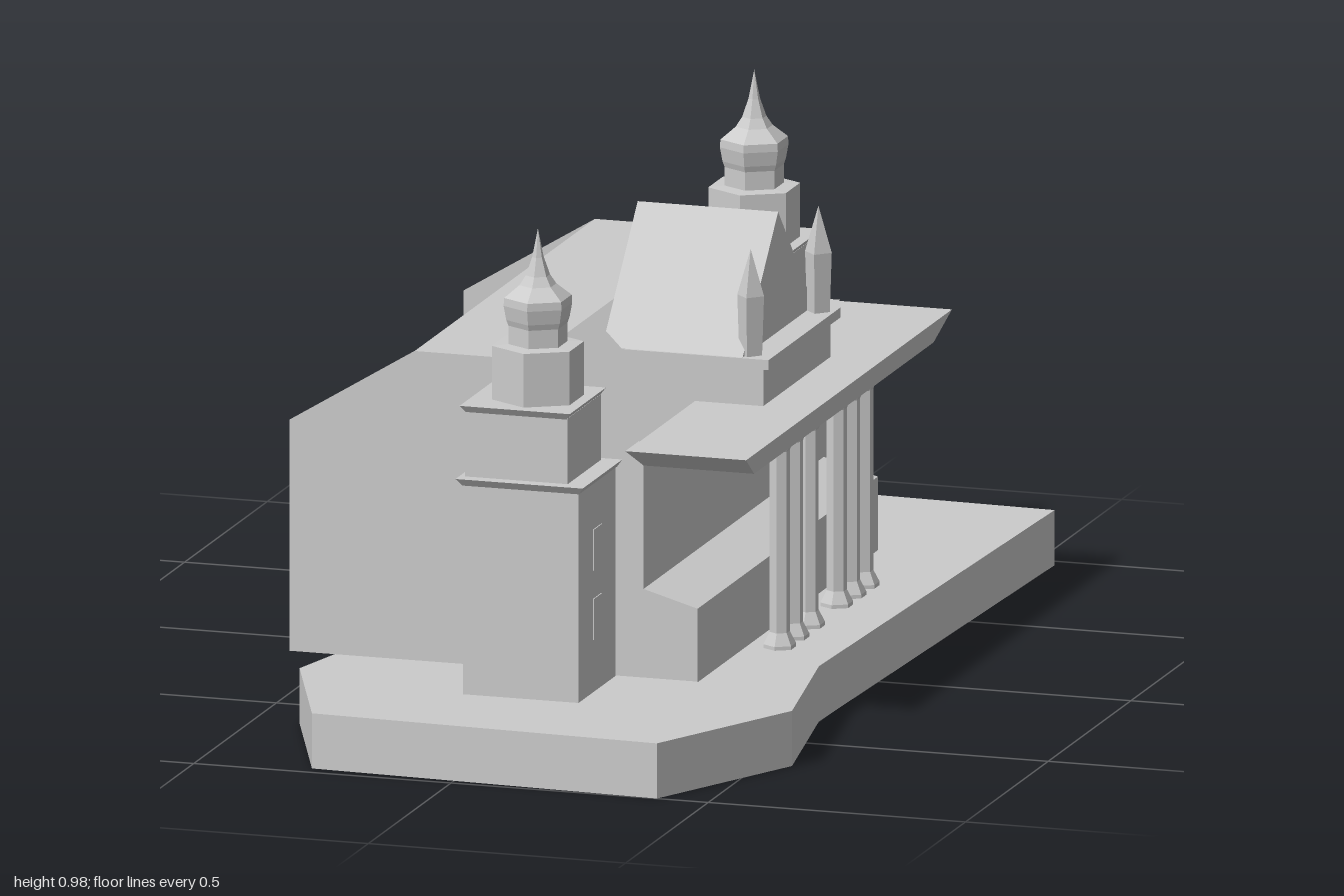
import * as THREE from 'three';

const mat = new THREE.MeshStandardMaterial({ color: 0xcccccc, flatShading: true, side: THREE.DoubleSide });

function add(parent, name, geometry, x = 0, y = 0, z = 0) {
  const mesh = new THREE.Mesh(geometry, mat);
  mesh.name = name;
  mesh.position.set(x, y, z);
  parent.add(mesh);
  return mesh;
}

// Box between two corners; its underside may be drawn in by inX, inZ
function block(parent, name, [x0, x1], [y0, y1], [z0, z1], inX = 0, inZ = 0) {
  const w = x1 - x0, d = z1 - z0;
  const g = new THREE.BoxGeometry(w, y1 - y0, d);
  const p = g.attributes.position;
  for (let i = 0; i < p.count; i++) {
    if (p.getY(i) < 0) {
      p.setX(i, p.getX(i) * (1 - 2 * inX / w));
      p.setZ(i, p.getZ(i) * (1 - 2 * inZ / d));
    }
  }
  g.computeVertexNormals();
  return add(parent, name, g, (x0 + x1) / 2, (y0 + y1) / 2, (z0 + z1) / 2);
}

// Folded sheet: an (x, y) profile swept from z0 to z1
function sheet(parent, name, profile, z0, z1) {
  const pos = [];
  for (let i = 0; i + 1 < profile.length; i++) {
    const [ax, ay] = profile[i], [bx, by] = profile[i + 1];
    pos.push(ax, ay, z0, ax, ay, z1, bx, by, z1, ax, ay, z0, bx, by, z1, bx, by, z0);
  }
  const g = new THREE.BufferGeometry();
  g.setAttribute('position', new THREE.Float32BufferAttribute(pos, 3));
  g.computeVertexNormals();
  return add(parent, name, g);
}

const shapeOf = pts => new THREE.Shape(pts.map(([x, y]) => new THREE.Vector2(x, y)));

const lathe = (pts, sides) =>
  new THREE.LatheGeometry(pts.map(([r, y]) => new THREE.Vector2(r, y)), sides).toNonIndexed();

function addBase(parent) {
  // Open-bottomed plinth: top slab plus skirt
  const outline = [[-0.29, -1], [0.54, -0.97], [0.5, 0.33], [0.56, 0.68],
    [0.4, 1], [-0.28, 0.97], [-0.41, 0.64], [-0.33, 0.28]];
  const top = new THREE.ShapeGeometry(shapeOf(outline.map(([x, z]) => [x, -z])));
  top.rotateX(-Math.PI / 2);
  add(parent, 'baseTop', top, 0, 0.105, 0);
  const skirt = [];
  outline.forEach(([ax, az], i) => {
    const [bx, bz] = outline[(i + 1) % outline.length];
    const h = 0.105;
    skirt.push(ax, 0, az, ax, h, az, bx, h, bz, ax, 0, az, bx, h, bz, bx, 0, bz);
  });
  const g = new THREE.BufferGeometry();
  g.setAttribute('position', new THREE.Float32BufferAttribute(skirt, 3));
  g.computeVertexNormals();
  add(parent, 'baseSkirt', g);
}

function addHall(parent) {
  const front = [[-0.225, 0.695], [0, 0.695], [0.22, 0.55], [0.22, 0.275], [0.325, 0.245], [0.325, 0.105]];
  sheet(parent, 'roofSheet', front.slice(0, 3), -0.57, 0.52);
  sheet(parent, 'facade', front.slice(2), -0.57, 0.52);
  // End walls; the rear one has a stepped foot overhanging the plinth
  const nearBack = [[-0.47, 0.105], [-0.47, 0.545]];
  const farBack = [[-0.565, 0.1], [-0.565, 0.245], [-0.48, 0.275], [-0.48, 0.54]];
  add(parent, 'endWallFront', new THREE.ShapeGeometry(shapeOf([...nearBack, ...front])), 0, 0, 0.515);
  add(parent, 'endWallRear', new THREE.ShapeGeometry(shapeOf([...farBack, ...front])), 0, 0, -0.57);
}

function addPortico(parent) {
  block(parent, 'canopy', [0.21, 0.445], [0.51, 0.555], [-0.645, 0.6], 0.01, 0.08);
  const profile = [[0.031, 0.105], [0.031, 0.112], [0.019, 0.135], [0.019, 0.48], [0.03, 0.505], [0.03, 0.512]];
  const column = lathe(profile, 6);
  column.computeVertexNormals();
  for (const z of [0.21, 0.13, 0.035, -0.135, -0.215, -0.295]) add(parent, 'column', column, 0.385, 0, z);
}

function addDormer(parent) {
  block(parent, 'dormerBase', [0.08, 0.345], [0.55, 0.63], [-0.22, 0.185]);
  block(parent, 'dormerLedge', [0.08, 0.36], [0.628, 0.647], [-0.235, 0.2]);
  // Pitched roof with a closed front gable
  const xBack = 0.035, xFront = 0.308;
  const slopes = new THREE.ShapeGeometry(shapeOf([[-0.195, 0.647], [0.235, 0.647], [0.02, 0.875]]));
  slopes.rotateY(Math.PI / 2);
  add(parent, 'dormerGable', slopes, xFront, 0, 0);
  for (const z of [0.195, -0.235]) {
    const a = [xBack, 0.647, z], b = [xFront, 0.647, z], c = [xFront, 0.875, -0.02], d = [xBack, 0.875, -0.02];
    const tris = z > 0 ? [a, b, c, a, c, d] : [a, c, b, a, d, c];
    const g = new THREE.BufferGeometry();
    g.setAttribute('position', new THREE.Float32BufferAttribute(tris.flat(), 3));
    g.computeVertexNormals();
    add(parent, 'dormerSlope', g);
  }
  // Pointed finials at the front corners
  const finial = lathe([[0, 0.64], [0.022, 0.64], [0.026, 0.76], [0, 0.848]], 4);
  finial.computeVertexNormals();
  for (const [x, z] of [[0.315, 0.168], [0.33, -0.195]]) add(parent, 'finial', finial, x, 0, z);
}

function addTower(parent, name, z, closed) {
  const t = new THREE.Group();
  t.name = name;
  t.position.set(0.05, 0, z);
  parent.add(t);
  // Shaft: a full box, or only its street wall where the rear is open
  block(t, 'towerShaft', [closed ? -0.11 : 0.112, 0.115], [0.105, 0.51], [-0.112, 0.112]);
  block(t, 'lowerCornice', [-0.12, 0.127], [0.503, 0.517], [-0.125, 0.125], 0.01, 0.01);
  block(t, 'upperStage', [-0.11, 0.09], [0.517, 0.642], [-0.1, 0.1]);
  block(t, 'upperCornice', [-0.117, 0.097], [0.64, 0.653], [-0.11, 0.11], 0.009, 0.009);
  for (const y of [0.205, 0.337]) block(t, 'window', [0.112, 0.117], [y, y + 0.078], [-0.026, 0.026]);
  // Six-sided lantern and onion spire
  const spire = lathe([[0.087, 0.65], [0.087, 0.755], [0.056, 0.757], [0.056, 0.792], [0.06, 0.803],
    [0.065, 0.83], [0.064, 0.845], [0.035, 0.868], [0.023, 0.886], [0.011, 0.92], [0, 0.975]], 6);
  spire.computeVertexNormals();
  add(t, 'lanternAndSpire', spire);
}

export function createModel() {
  const model = new THREE.Group();
  model.name = 'theatreBuilding';
  addBase(model);
  addHall(model);
  addPortico(model);
  addDormer(model);
  addTower(model, 'towerFront', 0.63, true);
  addTower(model, 'towerRear', -0.678, false);
  return model;
}
